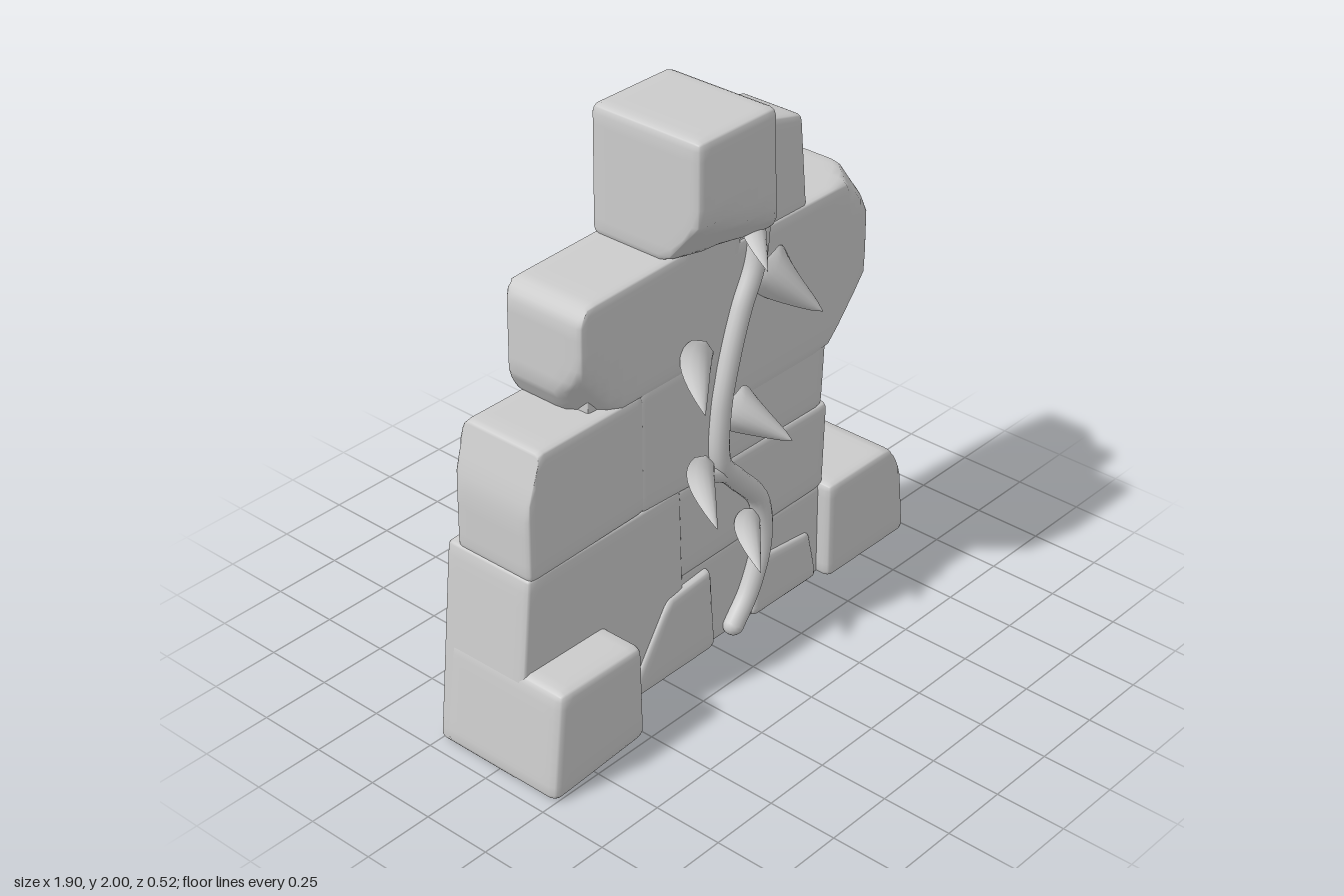
import * as THREE from 'three';
import { mergeVertices } from 'three/addons/utils/BufferGeometryUtils.js';

const material = new THREE.MeshStandardMaterial({ color: 0xcccccc });
const leafMaterial = new THREE.MeshStandardMaterial({ color: 0xcccccc, side: THREE.DoubleSide });

// Rounded stone: a soft box mapped onto a four-cornered outline
// (bottom left, bottom right, top right, top left), with planes chipping corners off.
// Each chip is [normal, point on the plane].
function stone(name, [bl, br, tr, tl], zBack, zFront, r, chips = []) {
  const box = new THREE.BoxGeometry(2, 2, 2, 12, 12, 12);
  box.deleteAttribute('uv');
  box.deleteAttribute('normal');
  const geo = mergeVertices(box);
  const size = new THREE.Vector3(
    (br[0] - bl[0] + tr[0] - tl[0]) / 2,
    (tl[1] - bl[1] + tr[1] - br[1]) / 2,
    zFront - zBack);
  const half = size.clone().multiplyScalar(0.5);
  const inner = half.clone().subScalar(r);
  const planes = chips.map(([n, p]) => new THREE.Plane().setFromNormalAndCoplanarPoint(
    new THREE.Vector3(...n).normalize(), new THREE.Vector3(...p)));
  const pos = geo.attributes.position;
  const p = new THREE.Vector3(), c = new THREE.Vector3();
  const ease = (u) => Math.sin(u * Math.PI / 2);
  for (let i = 0; i < pos.count; i++) {
    p.fromBufferAttribute(pos, i);
    p.set(ease(p.x), ease(p.y), ease(p.z)).multiply(half);
    // round the edges
    c.copy(p).clamp(inner.clone().negate(), inner);
    p.sub(c);
    if (p.length() > 0) p.setLength(r);
    p.add(c).divide(size).addScalar(0.5);
    // map onto the outline
    const mix = (k) => THREE.MathUtils.lerp(
      THREE.MathUtils.lerp(bl[k], br[k], p.x),
      THREE.MathUtils.lerp(tl[k], tr[k], p.x), p.y);
    p.set(mix(0), mix(1), THREE.MathUtils.lerp(zBack, zFront, p.z));
    for (const plane of planes) {
      if (plane.distanceToPoint(p) > 0) plane.projectPoint(p.clone(), p);
    }
    pos.setXYZ(i, p.x, p.y, p.z);
  }
  geo.computeVertexNormals();
  const mesh = new THREE.Mesh(geo, material);
  mesh.name = name;
  return mesh;
}

// Domed pointed leaf running from its stalk to its tip
function leaf([bx, by], [tx, ty], width, tipZ) {
  const geo = new THREE.PlaneGeometry(2, 1, 8, 12);
  const pos = geo.attributes.position;
  const dir = new THREE.Vector2(tx - bx, ty - by);
  const side = new THREE.Vector2(dir.y, -dir.x).normalize();
  for (let i = 0; i < pos.count; i++) {
    const s = pos.getX(i), t = pos.getY(i) + 0.5;
    const w = width * Math.pow(Math.sin(Math.PI * Math.pow(t, 0.5)), 0.75) || 0;
    const z = 0.11 + (tipZ - 0.11) * Math.pow(t, 0.8) - 0.07 * s * s * Math.sin(Math.PI * t);
    pos.setXYZ(i, bx + dir.x * t + side.x * s * w, by + dir.y * t + side.y * s * w, z);
  }
  geo.computeVertexNormals();
  const mesh = new THREE.Mesh(geo, leafMaterial);
  mesh.name = 'leaf';
  return mesh;
}

// Round stem with closed ends
function stem(name, points, radius) {
  const group = new THREE.Group();
  group.name = name;
  const curve = new THREE.CatmullRomCurve3(points.map((q) => new THREE.Vector3(...q)));
  group.add(new THREE.Mesh(new THREE.TubeGeometry(curve, 80, radius, 14), material));
  for (const end of [points[0], points[points.length - 1]]) {
    const cap = new THREE.Mesh(new THREE.SphereGeometry(radius, 14, 10), material);
    cap.position.set(...end);
    group.add(cap);
  }
  return group;
}

export function createModel() {
  const model = new THREE.Group();
  model.name = 'ruinedWall';

  const stones = new THREE.Group();
  stones.name = 'stones';
  stones.add(
    // bottom course
    stone('cornerBlock', [[-0.955, 0], [-0.53, 0.03], [-0.54, 0.39], [-0.91, 0.395]], -0.24, 0.26, 0.035),
    stone('largeLeftStone', [[-0.95, 0], [-0.16, 0.03], [-0.18, 0.73], [-0.875, 0.73]], -0.26, 0.1, 0.025),
    stone('footing', [[-0.22, 0.03], [0.9, 0.03], [0.84, 0.4], [-0.22, 0.4]], -0.252, 0.09, 0.025),
    stone('rightBlock', [[0.52, 0.03], [0.95, 0.03], [0.91, 0.41], [0.52, 0.41]], -0.256, 0.145, 0.03,
      [[[0.87, 0.5, 0], [0.85, 0.4, 0]]]),
    stone('leftMound', [[-0.47, 0.03], [-0.02, 0.03], [-0.05, 0.36], [-0.26, 0.34]], -0.05, 0.115, 0.03),
    stone('rightMound', [[0.17, 0.03], [0.52, 0.03], [0.47, 0.24], [0.19, 0.27]], -0.05, 0.105, 0.03),
    // second course
    stone('lowerRightStone', [[-0.22, 0.37], [0.55, 0.38], [0.565, 0.715], [-0.22, 0.73]], -0.238, 0.095, 0.03),
    // third course
    stone('middleLeftStone', [[-0.87, 0.71], [-0.35, 0.72], [-0.35, 1.155], [-0.865, 1.155]], -0.22, 0.1, 0.025,
      [[[-0.96, 0.28, 0], [-0.875, 0.93, 0]]]),
    stone('middleStone', [[-0.37, 0.72], [0, 0.7], [0, 1.16], [-0.37, 1.16]], -0.22, 0.098, 0.02),
    stone('middleRightStone', [[-0.02, 0.7], [0.54, 0.7], [0.56, 1.02], [-0.02, 1.02]], -0.22, 0.09, 0.03),
    // fourth course
    stone('upperLeftStone', [[-0.63, 1.14], [-0.13, 1.14], [-0.13, 1.57], [-0.625, 1.555]], -0.22, 0.1, 0.025, [
      [[-0.85, -0.5, 0], [-0.58, 1.16, 0]],
      [[-0.8, 0.6, 0], [-0.585, 1.555, 0]],
      [[-0.6, -0.5, 0.5], [-0.5, 1.19, 0.1]]]),
    stone('upperMiddleStone', [[-0.16, 1.13], [0.06, 1.0], [0.12, 1.62], [-0.16, 1.6]], -0.22, 0.095, 0.02),
    stone('upperRightStone', [[0, 0.92], [0.745, 0.92], [0.745, 1.505], [0, 1.505]], -0.22, 0.095, 0.025, [
      [[0.75, -0.66, 0], [0.745, 1.16, 0]],
      [[0.6, 0.6, 0.55], [0.62, 1.5, 0.09]]]),
    // top
    stone('topRightStone', [[0.08, 1.47], [0.445, 1.47], [0.41, 1.825], [0.08, 1.91]], -0.22, 0.085, 0.025,
      [[[0.028, 0.019, -0.072], [0.42, 1.83, -0.14]]]),
    stone('capStone', [[-0.245, 1.555], [0.135, 1.555], [0.12, 2], [-0.24, 2]], -0.22, 0.225, 0.03,
      [[[-0.15, -0.5, 0.6], [0, 1.66, 0.225]]]),
    // flush infill behind the upper joints
    stone('lowerInfill', [[-0.84, 0.76], [0.53, 0.76], [0.53, 1.13], [-0.8, 1.13]], -0.222, 0.05, 0.01),
    stone('upperInfill', [[-0.55, 1.0], [0.55, 1.02], [0.7, 1.47], [-0.55, 1.5]], -0.222, 0.05, 0.01,
      [[[0.75, -0.66, 0], [0.72, 1.18, 0]]]),
    stone('topInfill', [[-0.2, 1.4], [0.3, 1.4], [0.19, 1.84], [-0.2, 1.84]], -0.222, 0.05, 0.01),
  );
  model.add(stones);

  // climbing vine with a short side shoot
  const vine = new THREE.Group();
  vine.name = 'vine';
  vine.add(
    stem('mainStem', [
      [0.06, 0.075, 0.11], [0.14, 0.18, 0.11], [0.2, 0.35, 0.11], [0.18, 0.52, 0.11], [0.07, 0.65, 0.11],
      [-0.01, 0.75, 0.11], [-0.01, 0.95, 0.11], [0.03, 1.12, 0.11], [0.085, 1.28, 0.11],
      [0.15, 1.42, 0.11], [0.175, 1.6, 0.105], [0.17, 1.83, 0.09]], 0.037),
    stem('sideShoot', [[0.07, 0.65, 0.11], [-0.02, 0.71, 0.115], [-0.09, 0.74, 0.12]], 0.025),
  );

  // leaves: stalk, tip, half width, tip depth
  const leaves = [
    [[0.16, 1.62], [0.035, 1.48], 0.072, 0.26],
    [[0.2, 1.4], [0.36, 1.19], 0.085, 0.22],
    [[-0.08, 1.23], [-0.22, 1.07], 0.08, 0.23],
    [[0.03, 0.96], [0.17, 0.81], 0.078, 0.26],
    [[-0.08, 0.81], [-0.195, 0.65], 0.07, 0.26],
    [[0.16, 0.49], [0.045, 0.35], 0.068, 0.24],
  ];
  for (const spec of leaves) vine.add(leaf(...spec));
  model.add(vine);

  return model;
}
